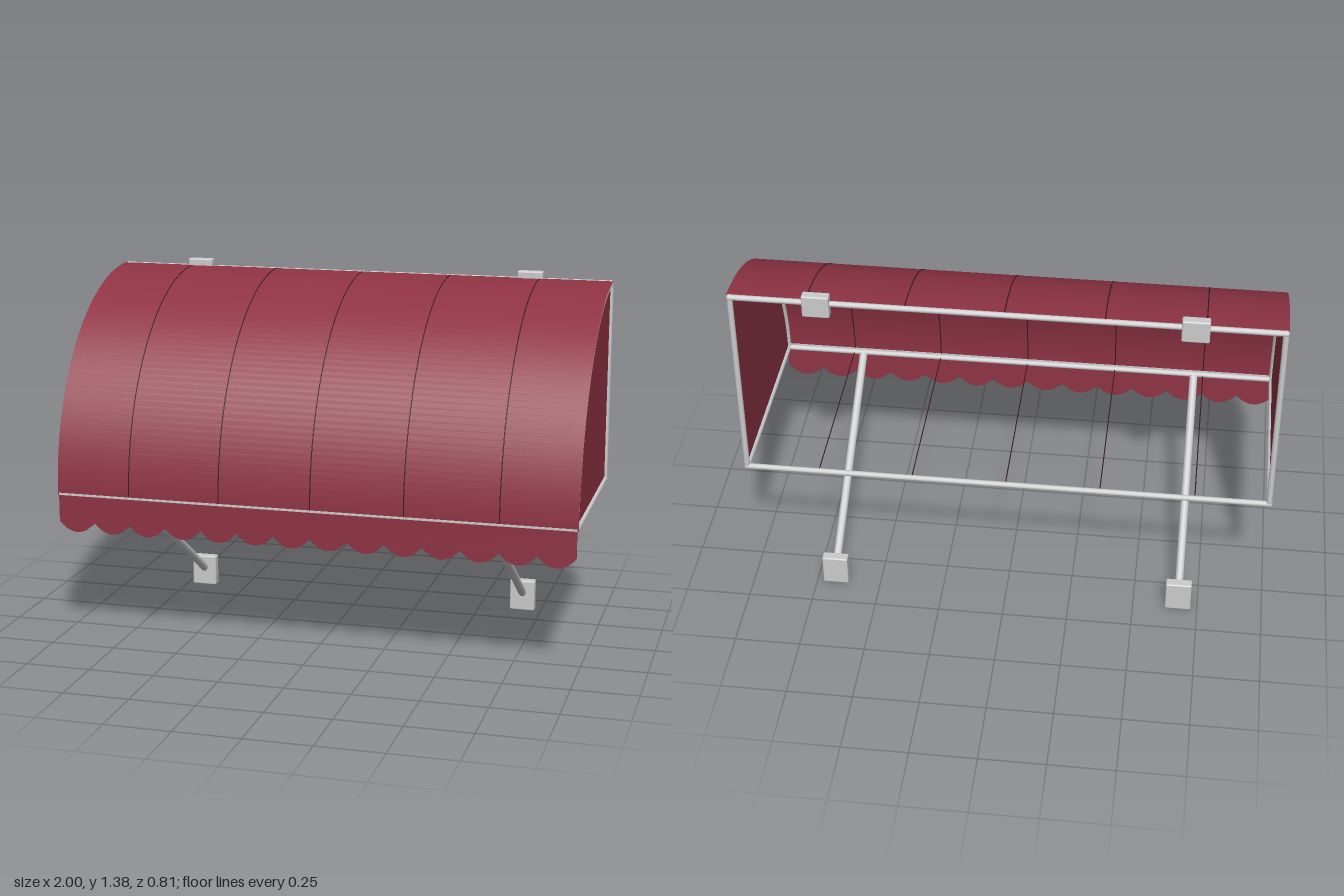
import * as THREE from 'three';
import { RoundedBoxGeometry } from 'three/addons/geometries/RoundedBoxGeometry.js';

const BACK = -0.385, FRONT = 0.388, LOW = 0.562, TOP = 1.34, END = 0.988;
const R = 0.787, TUBE = 0.011;

export function createModel() {
  const model = new THREE.Group();
  const metal = new THREE.MeshStandardMaterial({ color: 0xcccccc });
  const fabric = new THREE.MeshStandardMaterial({ color: 0x8f3344, side: THREE.DoubleSide });
  const thread = new THREE.MeshStandardMaterial({ color: 0x3a1820 });

  const add = (name, geometry, material, x = 0, y = 0, z = 0) => {
    const mesh = new THREE.Mesh(geometry, material);
    mesh.name = name;
    mesh.position.set(x, y, z);
    model.add(mesh);
    return mesh;
  };

  // Round bar between two points
  const bar = (name, a, b, radius = TUBE, material = metal) => {
    const from = new THREE.Vector3(...a), to = new THREE.Vector3(...b);
    const dir = to.clone().sub(from);
    const mesh = add(name, new THREE.CylinderGeometry(radius, radius, dir.length(), 12), material);
    mesh.position.copy(from).add(to).multiplyScalar(0.5);
    mesh.quaternion.setFromUnitVectors(new THREE.Vector3(0, 1, 0), dir.normalize());
  };

  // Quarter-circle rod in the y-z plane
  const arc = (name, x, radius, tube, material) =>
    add(name, new THREE.TorusGeometry(radius, tube, 8, 48, Math.PI / 2).rotateY(-Math.PI / 2),
      material, x, LOW, BACK);

  // Curved canopy sheet
  add('canopy', new THREE.CylinderGeometry(R, R, 2, 48, 1, true, 0, Math.PI / 2)
    .rotateZ(Math.PI / 2), fabric, 0, LOW, BACK);

  // Seams over the canopy, with thin ties across the open underside
  for (let i = -2; i <= 2; i++) {
    const x = i * 0.356;
    arc('canopySeam', x, R, 0.002, thread);
    bar('underTie', [x, LOW, BACK], [x, LOW, FRONT], 0.002, thread);
  }

  // Scalloped valance along the front edge
  const scallops = 14, step = 1.99 / scallops;
  const shape = new THREE.Shape();
  shape.moveTo(0.995, LOW);
  shape.lineTo(-0.995, LOW);
  shape.lineTo(-0.995, 0.46);
  for (let i = 0; i < scallops; i++) {
    const x = -0.995 + i * step;
    shape.quadraticCurveTo(x + step / 2, 0.38, x + step, 0.46);
  }
  shape.closePath();
  add('valance', new THREE.ExtrudeGeometry(shape, { depth: 0.004, bevelEnabled: false, curveSegments: 10 }),
    fabric, 0, 0, 0.4);
  add('hemStrip', new THREE.BoxGeometry(1.99, 0.008, 0.006), metal, 0, 0.567, 0.402);

  // Long rails
  bar('topRail', [-END, TOP, BACK], [END, TOP, BACK]);
  bar('backRail', [-END, LOW, BACK], [END, LOW, BACK]);
  bar('frontRail', [-END, LOW, FRONT], [END, LOW, FRONT]);

  for (const s of [-1, 1]) {
    const x = s * END;

    // End frame and its fabric panel
    bar('endPost', [x, LOW, BACK], [x, TOP, BACK]);
    bar('endRail', [x, LOW, BACK], [x, LOW, FRONT]);
    arc('endArch', x, R - 0.012, TUBE, metal);
    add('sidePanel', new THREE.CircleGeometry(R - 0.012, 48, 0, Math.PI / 2).rotateY(-Math.PI / 2),
      fabric, x, LOW, BACK);
    for (const [y, z] of [[LOW, BACK], [LOW, FRONT], [TOP, BACK]])
      add('cornerJoint', new THREE.SphereGeometry(0.0125, 12, 8), metal, x, y, z);

    // Support arm with wall plates
    const ax = s * 0.675;
    bar('supportArm', [ax, LOW - 0.005, FRONT - 0.005], [ax, 0.068, -0.37], 0.016);
    add('lowerWallPlate', new RoundedBoxGeometry(0.1, 0.124, 0.04, 2, 0.006), metal, ax, 0.062, -0.375);
    add('upperWallPlate', new RoundedBoxGeometry(0.1, 0.088, 0.038, 2, 0.006), metal, ax, 1.332, -0.386);
  }

  return model;
}
